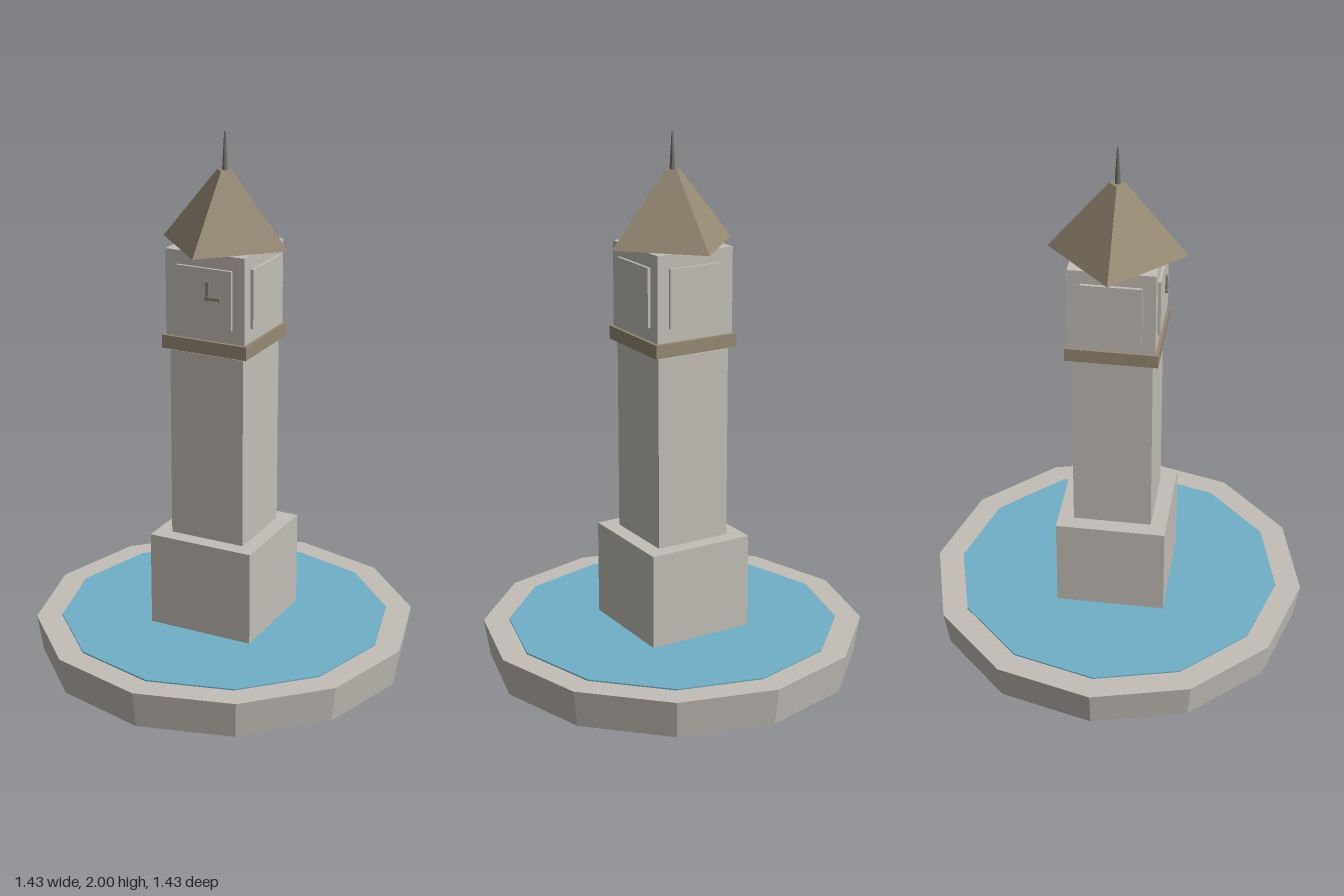
import * as THREE from 'three';

function material(name, color) {
  const m = new THREE.MeshStandardMaterial({ color, flatShading: true });
  m.name = name;
  return m;
}

export function createModel() {
  const stone = material('pale stone', 0xc3beb7);
  const water = material('water blue', 0x70b0c8);
  const bronze = material('weathered brown', 0x978a74);
  const iron = material('dark spire', 0x77706a);

  const model = new THREE.Group();
  model.name = 'clockTower';

  const add = (name, geometry, mat, x, y, z, parent = model) => {
    const mesh = new THREE.Mesh(geometry, mat);
    mesh.name = name;
    mesh.position.set(x, y, z);
    parent.add(mesh);
    return mesh;
  };
  // Square block between two heights
  const block = (name, width, y0, y1, mat) =>
    add(name, new THREE.BoxGeometry(width, y1 - y0, width), mat, 0, (y0 + y1) / 2, 0);
  // Faceted round piece between two heights
  const drum = (name, rTop, rBottom, y0, y1, sides, mat) =>
    add(name, new THREE.CylinderGeometry(rTop, rBottom, y1 - y0, sides), mat, 0, (y0 + y1) / 2, 0);

  // Twelve-sided pool
  drum('basin', 0.717, 0.695, 0, 0.142, 12, stone);
  drum('water', 0.62, 0.62, 0.1, 0.147, 12, water);

  // Tower
  block('pedestal', 0.41, 0.1, 0.505, stone);
  block('shaft', 0.292, 0.5, 1.221, stone);
  block('cornice', 0.335, 1.23, 1.28, bronze);
  block('clockChamber', 0.312, 1.28, 1.598, stone);

  // One raised dial panel on each side
  for (let i = 0; i < 4; i++) {
    const side = new THREE.Group();
    side.name = 'dialSide' + (i + 1);
    side.rotation.y = i * Math.PI / 2;
    add('dialPanel', new THREE.BoxGeometry(0.217, 0.217, 0.02), stone, 0, 1.439, 0.157, side);
    model.add(side);
  }

  // Clock hands on the front dial
  const hands = new THREE.Group();
  hands.name = 'clockHands';
  add('minuteHand', new THREE.BoxGeometry(0.014, 0.065, 0.009), bronze, 0.018, 1.469, 0.1705, hands);
  add('hourHand', new THREE.BoxGeometry(0.058, 0.013, 0.008), bronze, 0.041, 1.44, 0.17, hands);
  const hub = add('handHub', new THREE.CylinderGeometry(0.01, 0.01, 0.01, 8), bronze, 0.018, 1.44, 0.171, hands);
  hub.rotation.x = Math.PI / 2;
  model.add(hands);

  // Roof turned so its corners sit over the middle of each side
  drum('roof', 0.03, 0.249, 1.598, 1.864, 4, bronze);
  drum('spire', 0.003, 0.011, 1.86, 2, 8, iron);

  return model;
}
